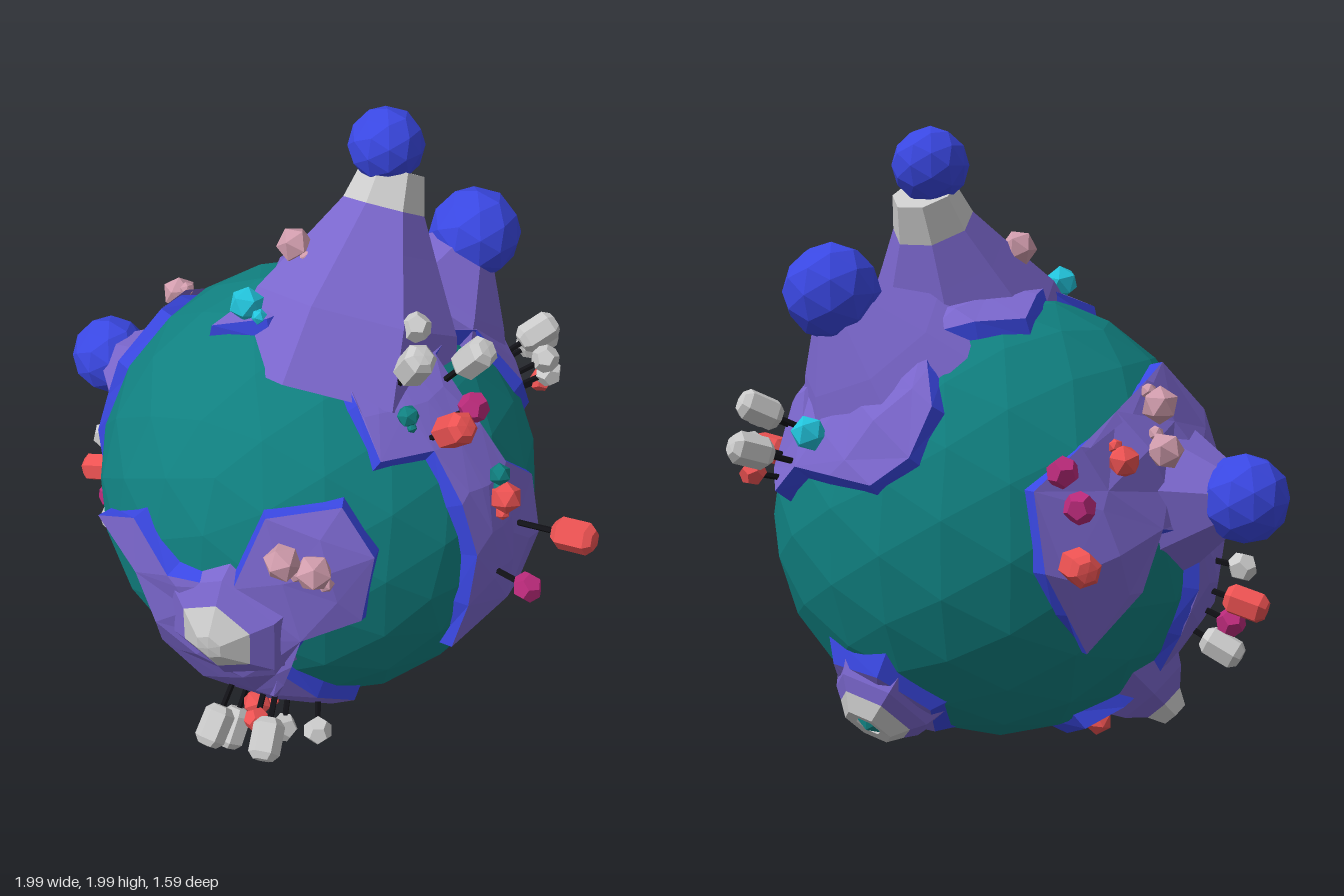
import * as THREE from 'three';

const V = (a) => new THREE.Vector3(...a);
const UP = V([0, 1, 0]);
const CENTRE = V([0.01, 0.765, -0.02]);
const mat = (color) => new THREE.MeshStandardMaterial({ color, flatShading: true, side: THREE.DoubleSide });
const M = {
  sea: mat(0x108080), land: mat(0x7a66cc), blue: mat(0x3a48e4), grey: mat(0xcccccc), red: mat(0xec5252),
  magenta: mat(0xba2a7a), cyan: mat(0x22c4dc), pink: mat(0xd09cac), stem: mat(0x111116),
};

// Direction from longitude (0 faces front) and latitude in degrees
const dir = (lon, lat) => new THREE.Vector3().setFromSphericalCoords(
  1, THREE.MathUtils.degToRad(90 - lat), THREE.MathUtils.degToRad(lon));

function add(parent, name, geometry, material) {
  const mesh = new THREE.Mesh(geometry, material);
  mesh.name = name;
  parent.add(mesh);
  return mesh;
}

function fromPoints(points) {
  const g = new THREE.BufferGeometry().setFromPoints(points);
  g.computeVertexNormals();
  return g;
}

// Slightly uneven land height over the sea
const lift = (p) => p.clone().multiplyScalar(0.745 + 0.01 * Math.sin(9 * p.x + 13 * p.y + 7 * p.z));
const midpoint = (a, b) => a.clone().add(b).normalize();
const LIMIT = 0.36;

function splitEdge(a, b) {
  if (a.distanceTo(b) <= LIMIT) return [a];
  const m = midpoint(a, b);
  return [...splitEdge(a, m), ...splitEdge(m, b)];
}

// Halves the longest side until the patch follows the globe
function splitTriangle(a, b, c, out) {
  const ab = a.distanceTo(b), bc = b.distanceTo(c), ca = c.distanceTo(a);
  const longest = Math.max(ab, bc, ca);
  if (longest <= LIMIT) { out.push(lift(a), lift(b), lift(c)); return; }
  if (bc === longest) [a, b, c] = [b, c, a];
  else if (ca === longest) [a, b, c] = [c, a, b];
  const m = midpoint(a, b);
  splitTriangle(a, m, c, out);
  splitTriangle(m, b, c, out);
}

// Raised land from an outline of directions, with a sloping shore
function continent(parent, name, w, dirs, shoreWidth = 0.045) {
  const u = new THREE.Vector3().crossVectors(UP, w).normalize();
  const v = new THREE.Vector3().crossVectors(w, u);
  const flat = (p) => new THREE.Vector2(p.dot(u), p.dot(v)).normalize().multiplyScalar(p.angleTo(w));
  if (THREE.ShapeUtils.area(dirs.map(flat)) < 0) dirs.reverse();
  const top = [];
  for (const [i, j, k] of THREE.ShapeUtils.triangulateShape(dirs.map(flat), [])) {
    splitTriangle(dirs[i], dirs[j], dirs[k], top);
  }
  add(parent, name, fromPoints(top), M.land);

  const ring = dirs.flatMap((p, i) => splitEdge(p, dirs[(i + 1) % dirs.length]));
  const n = ring.length;
  const foot = ring.map((p, i) => {
    const along = ring[(i + 1) % n].clone().sub(ring[(i + n - 1) % n]);
    return p.clone().addScaledVector(along.cross(p).normalize(), shoreWidth).normalize().multiplyScalar(0.695);
  });
  const shore = [];
  for (let i = 0; i < n; i++) {
    const j = (i + 1) % n, a = lift(ring[i]), b = lift(ring[j]);
    shore.push(a, foot[i], foot[j], a, foot[j], b);
  }
  add(parent, name + 'Shore', fromPoints(shore), M.blue);
}

// Mountain from base to peak; rows are [radius, share of height], grey from row `snow` on
function mountain(parent, name, base, peak, rows, snow, sides = 7) {
  const group = new THREE.Group();
  group.name = name;
  const axis = V(peak).sub(V(base)), length = axis.length();
  group.position.copy(V(base).sub(CENTRE));
  group.quaternion.setFromUnitVectors(UP, axis.normalize());
  const pts = rows.map(([r, t]) => new THREE.Vector2(r, t * length));
  add(group, 'slope', new THREE.LatheGeometry(pts.slice(0, snow + 1), sides), M.land);
  add(group, 'cap', new THREE.LatheGeometry(pts.slice(snow), sides), M.grey);
  parent.add(group);
}

const SHAPES = {
  tree: new THREE.LatheGeometry([[0, -1], [0.45, -0.95], [0.72, -0.65], [0.72, 0.65], [0.45, 0.95], [0, 1]]
    .map((p) => new THREE.Vector2(...p)), 6),
  bush: new THREE.DodecahedronGeometry(1, 0),
  crystal: new THREE.IcosahedronGeometry(1, 0),
};

// Sets plants or crystals upright on the globe at [longitude, latitude, optional height]
function scatter(parent, kind, color, size, usualHeight, spots) {
  spots.forEach(([lon, lat, height = usualHeight], i) => {
    const group = new THREE.Group();
    group.name = `${color}${kind}${i + 1}`;
    group.quaternion.setFromUnitVectors(UP, dir(lon, lat));
    const top = add(group, 'top', SHAPES[kind], M[color]);
    top.position.y = height;
    top.rotation.y = i * 1.3;
    top.scale.setScalar(size);
    if (kind === 'crystal') {
      const chip = add(group, 'chip', SHAPES.crystal, M[color]);
      chip.position.set(size * 0.9, height - size * 0.4, size * 0.4);
      chip.scale.setScalar(size * 0.45);
    } else {
      const stem = add(group, 'stem', new THREE.CylinderGeometry(0.01, 0.01, height - 0.7, 5), M.stem);
      stem.position.y = (height + 0.7) / 2;
    }
    parent.add(group);
  });
}

export function createModel() {
  const root = new THREE.Group();
  root.name = 'planet';
  const globe = new THREE.Group();
  globe.name = 'globe';
  globe.position.copy(CENTRE);
  root.add(globe);

  add(globe, 'sea', new THREE.IcosahedronGeometry(0.712, 3), M.sea);

  // Land masses
  continent(globe, 'frontLand', dir(-50, -32), [
    [-36, 5], [-20, 14], [-7, 5], [10, 7], [17, 26], [36, 29], [43, 17], [40, 0], [26, -5], [20, -20],
    [42, -41], [38, -64], [-55, -77], [-112, -55], [-91, -39], [-95, -12], [-97, 2], [-111, 5], [-116, -9],
    [-129, -23], [-141, -2], [-143, 16], [-112, 32], [-82, 43], [-72, 28], [-72, 5], [-66, -27], [-59, -49],
    [-25, -63], [-10, -40], [-19, -27], [-13, -13], [-19, -1]].map((p) => dir(...p)));
  continent(globe, 'topLand', dir(110, 62), [
    [-39, 62], [-9, 71], [16, 79], [37, 65], [48, 38], [65, 37], [70, 9], [66, -19], [84, -12], [95, -15],
    [99, 15], [86, 26], [84, 37], [87, 56], [105, 56], [119, 49], [121, 29], [133, 14], [144, 10], [152, 17],
    [178, 16], [-173, 23], [-169, 35], [179, 55], [-137, 62], [-60, 78]].map((p) => dir(...p)));
  const pit = dir(166, -45);
  const side = new THREE.Vector3().crossVectors(pit, UP).normalize(), over = side.clone().cross(pit);
  continent(globe, 'craterLand', pit, [0, 1, 2, 3, 4, 5].map((i) => pit.clone()
    .addScaledVector(side, 0.27 * Math.cos(i * Math.PI / 3))
    .addScaledVector(over, 0.27 * Math.sin(i * Math.PI / 3)).normalize()), 0.12);

  // Mountains
  mountain(globe, 'topMountain', [.12, 1.2, .05], [.12, 1.79, -.28],
    [[.38, 0], [.32, .35], [.2, .65], [.13, .83], [.1, 1], [0, 1]], 3);
  mountain(globe, 'backMountain', [.19, 1.25, -.36], [.27, 1.45, -.49], [[.34, 0], [.25, .45], [.12, 1], [0, 1]], 2);
  mountain(globe, 'sideMountain', [-.52, .86, -.05], [-.81, .9, -.1], [[.33, 0], [.24, .4], [.11, 1], [0, 1]], 2);
  mountain(globe, 'frontMountain', [.09, .69, .61], [.1, .675, .79],
    [[.24, 0], [.2, .48], [.13, .7], [.045, .97], [0, 1]], 2, 6);
  mountain(globe, 'lowMountain', [-.4, .34, .03], [-.58, .15, .08], [[.25, 0], [.14, .6], [.08, .8], [.05, 1], [0, 1]], 2, 6);
  const along = (r) => pit.clone().multiplyScalar(r).add(CENTRE).toArray();
  mountain(globe, 'crater', along(0.66), along(0.82),
    [[.21, 0], [.17, .5], [.13, .72], [.085, 1], [.045, .98], [.04, .7], [0, .7]], 2, 6);
  add(globe, 'craterPool', new THREE.IcosahedronGeometry(0.045, 0), M.sea).position.copy(pit).multiplyScalar(0.79);

  // Large balls on the peaks
  for (const [x, y, z, r] of [[.1, 1.87, -.27, .118], [.29, 1.5, -.53, .148], [-.865, .905, -.1, .135]]) {
    add(globe, 'peakBall', new THREE.IcosahedronGeometry(r, 1), M.blue).position.set(x, y, z).sub(CENTRE);
  }

  // Trees with long crowns
  scatter(globe, 'tree', 'red', 0.07, 0.86, [[88, 8, .92], [66, 40], [-136, 1], [-84, -15]]);
  scatter(globe, 'tree', 'grey', 0.07, 0.88,
    [[83, 50], [62, 54], [148, 18], [141, 26, .86], [-81, -27, .84], [-1, -43], [-1, -52], [17, -36]]);

  // Round bushes
  scatter(globe, 'bush', 'magenta', 0.048, 0.83, [[78, 0, .85], [77, 42], [-135, 12], [-138, 19], [-81, -21]]);
  scatter(globe, 'bush', 'grey', 0.047, 0.83, [[77, 62], [136, 18], [132, 25], [-86, -7], [30, -42], [18, -50]]);
  scatter(globe, 'bush', 'red', 0.042, 0.82, [[141, 13], [12, -40]]);

  // Crystals
  scatter(globe, 'crystal', 'red', 0.05, 0.77, [[78, 21, .8], [-121, 21], [-87, -61, .74], [7, -49]]);
  scatter(globe, 'crystal', 'sea', 0.035, 0.79, [[79, 26], [58, 46]]);
  scatter(globe, 'crystal', 'cyan', 0.055, 0.77, [[156, 25], [-29, 71]]);
  scatter(globe, 'crystal', 'pink', 0.058, 0.77, [[-76, 85, .85], [-105, 32, .78], [-108, 22], [22, 17], [29, 15]]);
  return root;
}
